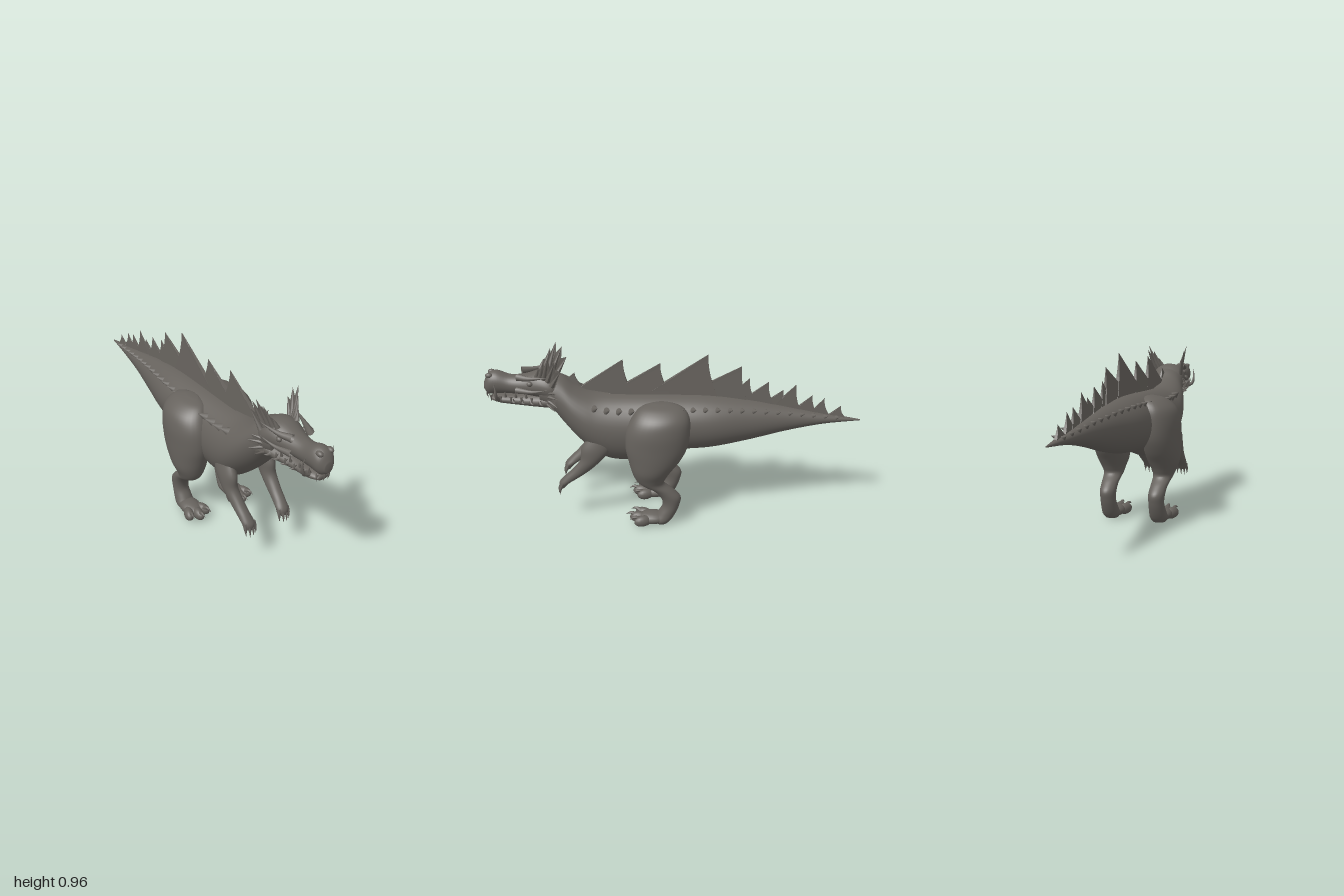
import * as THREE from 'three';

const V = (x, y, z) => new THREE.Vector3(x, y, z);

// Catmull-Rom blend of table rows, t in 0..1
function sample(rows, t) {
  const f = t * (rows.length - 1), i = Math.min(Math.floor(f), rows.length - 2), k = f - i;
  const at = (n) => rows[Math.max(0, Math.min(rows.length - 1, n))];
  const [a, b, c, d] = [at(i - 1), at(i), at(i + 1), at(i + 2)];
  return b.map((_, n) => b[n] + 0.5 * k * (c[n] - a[n] + k * (2 * a[n] - 5 * b[n] + 4 * c[n] - d[n]
    + k * (3 * (b[n] - c[n]) + d[n] - a[n]))));
}

// Smooth skin over elliptical rings [x, y, z, rx, rv]; rv runs along y (lying) or z (standing)
function loft(rows, standing, sides = 32, per = 5) {
  const pos = [], idx = [], n = (rows.length - 1) * per;
  for (let i = 0; i <= n; i++) {
    const [x, y, z, rx, rv] = sample(rows, i / n);
    for (let j = 0; j < sides; j++) {
      const a = (j / sides) * Math.PI * 2, u = Math.cos(a) * rx, v = Math.sin(a) * rv;
      pos.push(x + u, y + (standing ? 0 : v), z + (standing ? v : 0));
      if (i === n) continue;
      const p = i * sides + j, q = i * sides + (j + 1) % sides;
      idx.push(p, q, q + sides, p, q + sides, p + sides);
    }
  }
  const first = pos.length / 3, last = n * sides;
  pos.push(...rows[0].slice(0, 3), ...rows[rows.length - 1].slice(0, 3));
  for (let j = 0; j < sides; j++) {
    const k = (j + 1) % sides;
    idx.push(first, k, j, first + 1, last + j, last + k);
  }
  const g = new THREE.BufferGeometry();
  g.setAttribute('position', new THREE.Float32BufferAttribute(pos, 3));
  g.setIndex(idx);
  g.computeVertexNormals();
  return g;
}

// Tapered curved spike through points
function spike(points, r, sides = 8) {
  const curve = new THREE.CatmullRomCurve3(points), seg = 8;
  const g = new THREE.TubeGeometry(curve, seg, r, sides);
  const p = g.attributes.position, v = V(0, 0, 0);
  for (let i = 0; i < p.count; i++) {
    const t = Math.floor(i / (sides + 1)) / seg;
    v.fromBufferAttribute(p, i).lerp(curve.getPointAt(t), Math.min(0.98, t));
    p.setXYZ(i, v.x, v.y, v.z);
  }
  g.computeVertexNormals();
  return g;
}

// Rows [z, top, bottom, half width] to loft rings
const lying = (rows) => rows.map(([z, t, b, w]) => [0, (t + b) / 2, z, w, (t - b) / 2]);

const BODY = lying([
  [-1, 0.577, 0.571, 0.003], [-0.8, 0.612, 0.553, 0.035], [-0.6, 0.652, 0.512, 0.064],
  [-0.4, 0.69, 0.46, 0.102], [-0.2, 0.715, 0.42, 0.142], [0, 0.72, 0.4, 0.152],
  [0.2, 0.72, 0.345, 0.157], [0.32, 0.722, 0.343, 0.16], [0.4, 0.728, 0.375, 0.16],
  [0.46, 0.745, 0.425, 0.155], [0.52, 0.775, 0.485, 0.14], [0.58, 0.815, 0.555, 0.115],
  [0.64, 0.83, 0.635, 0.098], [0.7, 0.82, 0.665, 0.08],
]);

function bodyAt(z) {
  const i = Math.max(0, BODY.findIndex((r) => r[2] > z) - 1), a = BODY[i], b = BODY[i + 1];
  const k = (z - a[2]) / (b[2] - a[2]);
  return a.map((v, n) => v + (b[n] - v) * k);
}

// Back plate: curved triangle thinning toward the tip
function fin([z0, z1, zt, yt]) {
  const top = (z) => { const r = bodyAt(z); return r[1] + r[4]; };
  const y0 = top(z0) - 0.015, y1 = top(z1) - 0.015, low = Math.min(y0, y1);
  const s = new THREE.Shape();
  s.moveTo(z1, y1);
  s.lineTo(z0, y0);
  s.quadraticCurveTo((z0 + zt) / 2 - (z0 - zt) * 0.06, (y0 + yt) / 2 + (yt - y0) * 0.07, zt, yt);
  s.quadraticCurveTo(zt + 0.003, (y1 + yt) / 2, z1, y1);
  const th = Math.min(0.034, 0.014 + (z0 - z1) * 0.07);
  const g = new THREE.ExtrudeGeometry(s, { depth: th, bevelEnabled: false, curveSegments: 8 });
  g.rotateY(-Math.PI / 2).translate(th / 2, 0, 0);
  const p = g.attributes.position;
  for (let i = 0; i < p.count; i++) p.setX(i, p.getX(i) * Math.max(0.04, 1 - (p.getY(i) - low) / (yt - low)));
  g.computeVertexNormals();
  return g;
}

// Web stretched between neighbouring spikes
function web(bases, tips) {
  const pos = [];
  const tri = (...pts) => pts.forEach((p) => pos.push(p.x, p.y, p.z));
  for (let i = 0; i < tips.length - 1; i++) {
    const root = bases[i].clone().lerp(bases[i + 1], 0.5);
    const notch = root.clone().lerp(tips[i].clone().lerp(tips[i + 1], 0.5), 0.68);
    tri(bases[i], tips[i], notch);
    tri(bases[i], notch, bases[i + 1]);
    tri(bases[i + 1], notch, tips[i + 1]);
  }
  const g = new THREE.BufferGeometry();
  g.setAttribute('position', new THREE.Float32BufferAttribute(pos, 3));
  g.computeVertexNormals();
  return g;
}

export function createModel() {
  const model = new THREE.Group();
  const hide = new THREE.MeshStandardMaterial({ color: 0x66625d, side: THREE.DoubleSide });
  hide.name = 'grey hide';
  const add = (name, g) => {
    const m = new THREE.Mesh(g, hide);
    m.name = name;
    model.add(m);
    return m;
  };
  const ball = (name, x, y, z, rx, ry, rz) => {
    const m = add(name, new THREE.SphereGeometry(1, 16, 12));
    m.position.set(x, y, z);
    m.scale.set(rx, ry, rz);
    return m;
  };

  add('bodyAndTail', loft(BODY, false, 40));
  add('skull', loft(lying([
    [0.57, 0.8, 0.68, 0.06], [0.63, 0.84, 0.68, 0.097], [0.7, 0.848, 0.7, 0.09], [0.78, 0.825, 0.713, 0.066],
    [0.86, 0.82, 0.718, 0.053], [0.93, 0.843, 0.718, 0.055], [0.975, 0.83, 0.715, 0.048], [1, 0.785, 0.735, 0.022],
  ]), false));
  add('lowerJaw', loft(lying([
    [0.58, 0.74, 0.65, 0.07], [0.64, 0.74, 0.645, 0.088], [0.72, 0.726, 0.648, 0.074], [0.82, 0.716, 0.655, 0.055],
    [0.92, 0.716, 0.668, 0.05], [0.97, 0.705, 0.682, 0.028],
  ]), false));

  // Plates along the spine
  [[0.57, 0.44, 0.52, 0.835], [0.5, 0.21, 0.265, 0.91], [0.36, 0.01, 0.07, 0.89], [0.16, -0.24, -0.18, 0.94],
    [-0.04, -0.39, -0.355, 0.875], [-0.28, -0.44, -0.4, 0.81], [-0.36, -0.54, -0.5, 0.79], [-0.47, -0.61, -0.58, 0.745],
    [-0.53, -0.68, -0.645, 0.775], [-0.64, -0.77, -0.735, 0.715], [-0.73, -0.84, -0.8, 0.7], [-0.82, -0.93, -0.89, 0.655],
  ].forEach((f) => add('backPlate', fin(f)));

  for (const s of [1, -1]) {
    const P = (x, y, z) => V(s * x, y, z);
    const limb = (rows) => loft(rows.map(([x, ...r]) => [s * x, ...r]), true);

    // Scutes along the flank
    for (let i = 0; i < 21; i++) {
      const z = 0.41 - i * 0.064, [, y, , w, h] = bodyAt(z), k = 1 - i * 0.02;
      const m = add('flankScute', new THREE.ConeGeometry(0.025 * k, 0.058 * k, 10).translate(0, 0.016 * k, 0));
      m.scale.z = 0.62;
      m.position.set(s * w * 0.73, y + h * 0.69, z);
      m.quaternion.setFromUnitVectors(V(0, 1, 0), V(s * 0.72, 0.4, -0.45).normalize());
    }

    // Hind leg from hip to heel
    add('hindLeg', limb([
      [0.09, 0.705, 0.06, 0.02, 0.04], [0.11, 0.687, 0.06, 0.06, 0.11], [0.13, 0.64, 0.065, 0.095, 0.15],
      [0.14, 0.57, 0.078, 0.106, 0.168], [0.145, 0.48, 0.088, 0.102, 0.165], [0.148, 0.4, 0.1, 0.096, 0.138],
      [0.15, 0.34, 0.115, 0.086, 0.108], [0.15, 0.29, 0.122, 0.066, 0.083], [0.148, 0.255, 0.112, 0.055, 0.064],
      [0.145, 0.215, 0.055, 0.047, 0.055], [0.143, 0.17, 0.015, 0.045, 0.055], [0.142, 0.12, 0.012, 0.043, 0.046],
      [0.142, 0.07, 0.035, 0.047, 0.05], [0.142, 0.03, 0.06, 0.05, 0.052], [0.142, 0.006, 0.065, 0.035, 0.035],
    ]));
    ball('footPad', s * 0.142, 0.036, 0.115, 0.056, 0.035, 0.085);
    for (const k of [-1, 0, 1]) {
      const x = 0.142 + k * 0.043, z = k ? 0.165 : 0.19;
      ball('toe', s * x, 0.034, z, 0.027, 0.032, 0.05).rotation.y = s * k * 0.35;
      add('toeClaw', spike([P(x, 0.05, z + 0.02), P(x + k * 0.006, 0.062, z + 0.045), P(x + k * 0.012, 0.05, z + 0.073)], 0.014));
    }

    // Arm and hand
    add('arm', limb([
      [0.115, 0.53, 0.38, 0.025, 0.06], [0.118, 0.45, 0.41, 0.04, 0.08], [0.12, 0.38, 0.442, 0.038, 0.057],
      [0.116, 0.32, 0.495, 0.034, 0.05], [0.112, 0.27, 0.553, 0.033, 0.042], [0.108, 0.235, 0.593, 0.034, 0.03],
      [0.106, 0.205, 0.608, 0.027, 0.017],
    ]));
    [0.076, 0.096, 0.116, 0.136].forEach((x, i) => {
      const far = i % 3 ? 0 : 0.008;
      add('finger', spike([P(x * 0.8 + 0.022, 0.235, 0.6), P(x, 0.205, 0.622 - far), P(x, 0.162 + far, 0.628 - far)], 0.014));
    });

    // Webbed crest above the eye and frill on the cheek
    const fan = (name, bases, tips, r) => {
      const b = bases.map((p) => P(...p)), t = tips.map((p) => P(...p));
      t.forEach((p, i) => add(name + 'Spike', spike([b[i], b[i].clone().lerp(p, 0.5), p], r)));
      add(name + 'Web', web(b, t));
    };
    fan('crest',
      [[0.055, 0.83, 0.71], [0.065, 0.83, 0.69], [0.073, 0.825, 0.67], [0.08, 0.815, 0.65], [0.085, 0.79, 0.63]],
      [[0.075, 0.88, 0.695], [0.1, 0.93, 0.66], [0.122, 0.962, 0.63], [0.116, 0.935, 0.598], [0.107, 0.88, 0.575]], 0.014);
    fan('cheekFrill',
      [[0.085, 0.75, 0.65], [0.085, 0.73, 0.65], [0.083, 0.705, 0.65], [0.078, 0.685, 0.66]],
      [[0.123, 0.765, 0.605], [0.136, 0.735, 0.59], [0.134, 0.69, 0.6], [0.105, 0.652, 0.615]], 0.011);

    // Eye, brow, nostril and tusk
    ball('eye', s * 0.073, 0.795, 0.745, 0.012, 0.013, 0.016);
    add('brow', spike([P(0.05, 0.825, 0.81), P(0.073, 0.825, 0.755), P(0.092, 0.835, 0.69), P(0.104, 0.845, 0.64)], 0.02));
    add('cheekRidge', spike([P(0.06, 0.755, 0.82), P(0.085, 0.755, 0.73), P(0.105, 0.775, 0.65)], 0.018));
    ball('nostril', s * 0.03, 0.825, 0.965, 0.014, 0.014, 0.02);
    add('tusk', spike([P(0.04, 0.7, 0.92), P(0.075, 0.715, 0.925), P(0.086, 0.76, 0.925), P(0.076, 0.812, 0.935)], 0.014));

    // Teeth and chin spikes along the jaw
    for (let i = 0; i < 9; i++) {
      const z = 0.965 - i * 0.028, x = i ? 0.046 + i * 0.0035 : 0.03, up = i % 2 ? 1 : -1;
      add('tooth', spike([P(x, 0.718, z), P(x + 0.006, 0.718 + up * 0.018, z), P(x + 0.003, 0.718 + up * 0.036, z)], 0.008, 6));
    }
    add('frontTooth', spike([P(0.012, 0.735, 0.985), P(0.012, 0.715, 0.99), P(0.012, 0.69, 0.985)], 0.008, 6));
    for (let i = 0; i < 4; i++) {
      const z = 0.85 - i * 0.05, x = 0.05 + i * 0.009;
      add('jawSpike', spike([P(x, 0.695, z), P(x + 0.014, 0.688, z - 0.008), P(x + 0.027, 0.69, z - 0.022)], 0.011, 6));
    }
  }
  return model;
}
